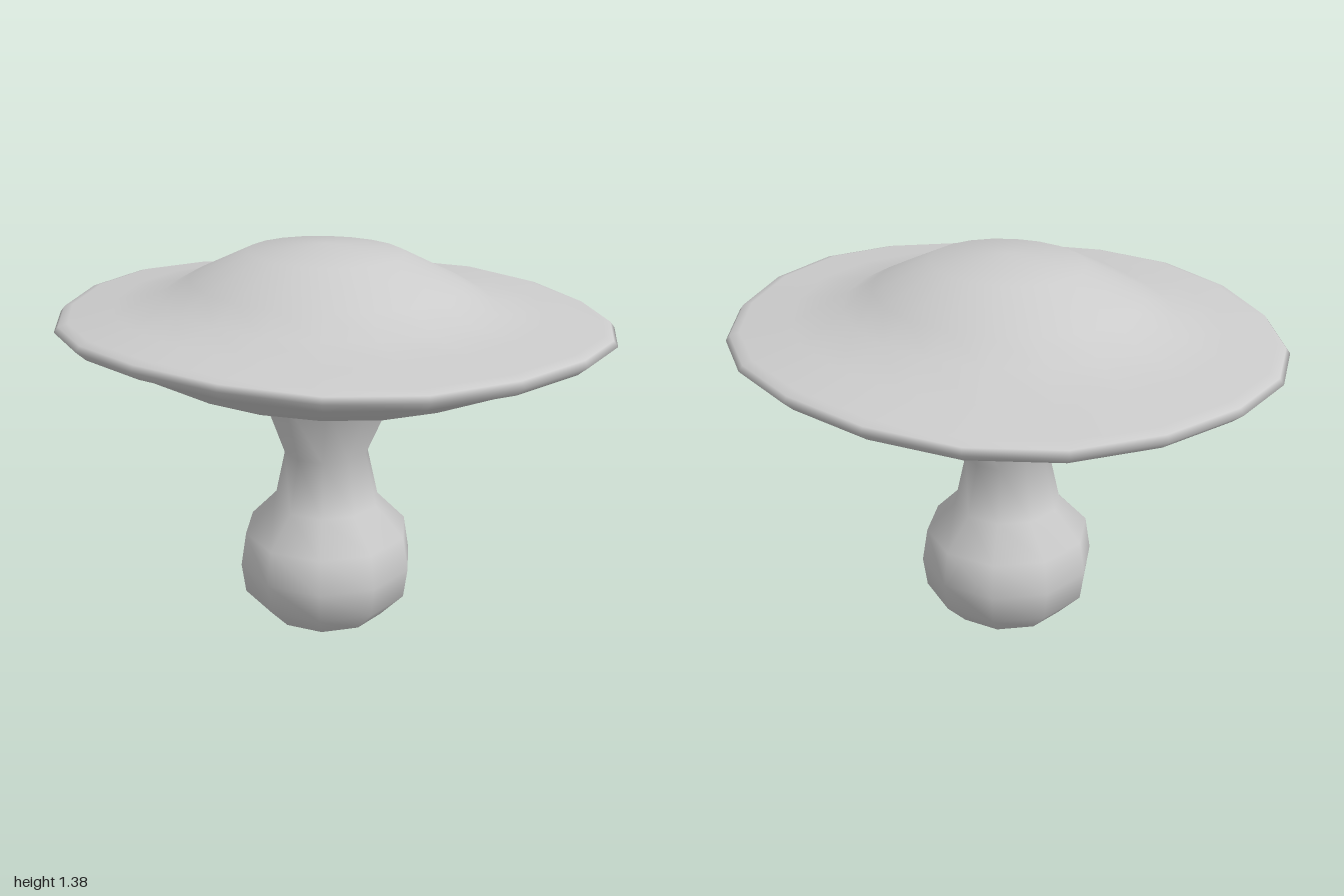
import * as THREE from 'three';
import { mergeVertices } from 'three/addons/utils/BufferGeometryUtils.js';

const material = new THREE.MeshStandardMaterial({ color: 0xcccccc });

// Lathe a [radius, y] profile, reshape each vertex, then smooth across the seam
function turned(name, profile, sides, reshape) {
  let geo = new THREE.LatheGeometry(profile.map(([r, y]) => new THREE.Vector2(r, y)), sides);
  const pos = geo.attributes.position;
  const v = new THREE.Vector3();
  for (let i = 0; i < pos.count; i++) {
    reshape(v.fromBufferAttribute(pos, i));
    pos.setXYZ(i, v.x, v.y, v.z);
  }
  geo.deleteAttribute('uv');
  geo.deleteAttribute('normal');
  geo = mergeVertices(geo, 1e-4);
  geo.computeVertexNormals();
  const mesh = new THREE.Mesh(geo, material);
  mesh.name = name;
  return mesh;
}

export function createModel() {
  const group = new THREE.Group();
  group.name = 'mushroom';

  // Bulbous stem, flaring wider sideways where it meets the cap
  const stemProfile = [
    [0.22, 0], [0.305, 0.09], [0.32, 0.2], [0.3, 0.325],
    [0.195, 0.435], [0.152, 0.63], [0.24, 0.87], [0.25, 0.89],
  ];
  const stem = turned('stem', stemProfile, 10, (v) => {
    if (v.y > 0.8) { v.x *= 1.1; v.z *= 0.91; }
    v.z += 0.02;
  });

  // Flat foot under the stem
  const foot = new THREE.Mesh(new THREE.CircleGeometry(0.22, 10, Math.PI / 2), material);
  foot.name = 'stemFoot';
  foot.rotation.x = Math.PI / 2;
  foot.position.z = 0.02;

  // Broad oval cap with a gently wavy rim and a raised dome
  const capProfile = [
    [0, 0.87], [0.25, 0.87], [0.63, 0.95], [0.9, 1.06], [0.965, 1.083],
    [1, 1.113], [0.985, 1.132], [0.95, 1.142], [0.78, 1.16], [0.6, 1.19],
    [0.49, 1.25], [0.28, 1.347], [0, 1.375],
  ];
  const cap = turned('cap', capProfile, 20, (v) => {
    const r = Math.hypot(v.x, v.z);
    const a = Math.atan2(v.x, v.z);
    const edge = THREE.MathUtils.smoothstep(r, 0.55, 1);
    v.y += edge * (0.01 * Math.cos(4 * a) + 0.009 * (Math.sin(a) + Math.cos(a)));
    v.z = v.z * 0.905 + 0.02 * (1 - edge) - 0.004 * edge;
  });

  group.add(stem, foot, cap);
  return group;
}
